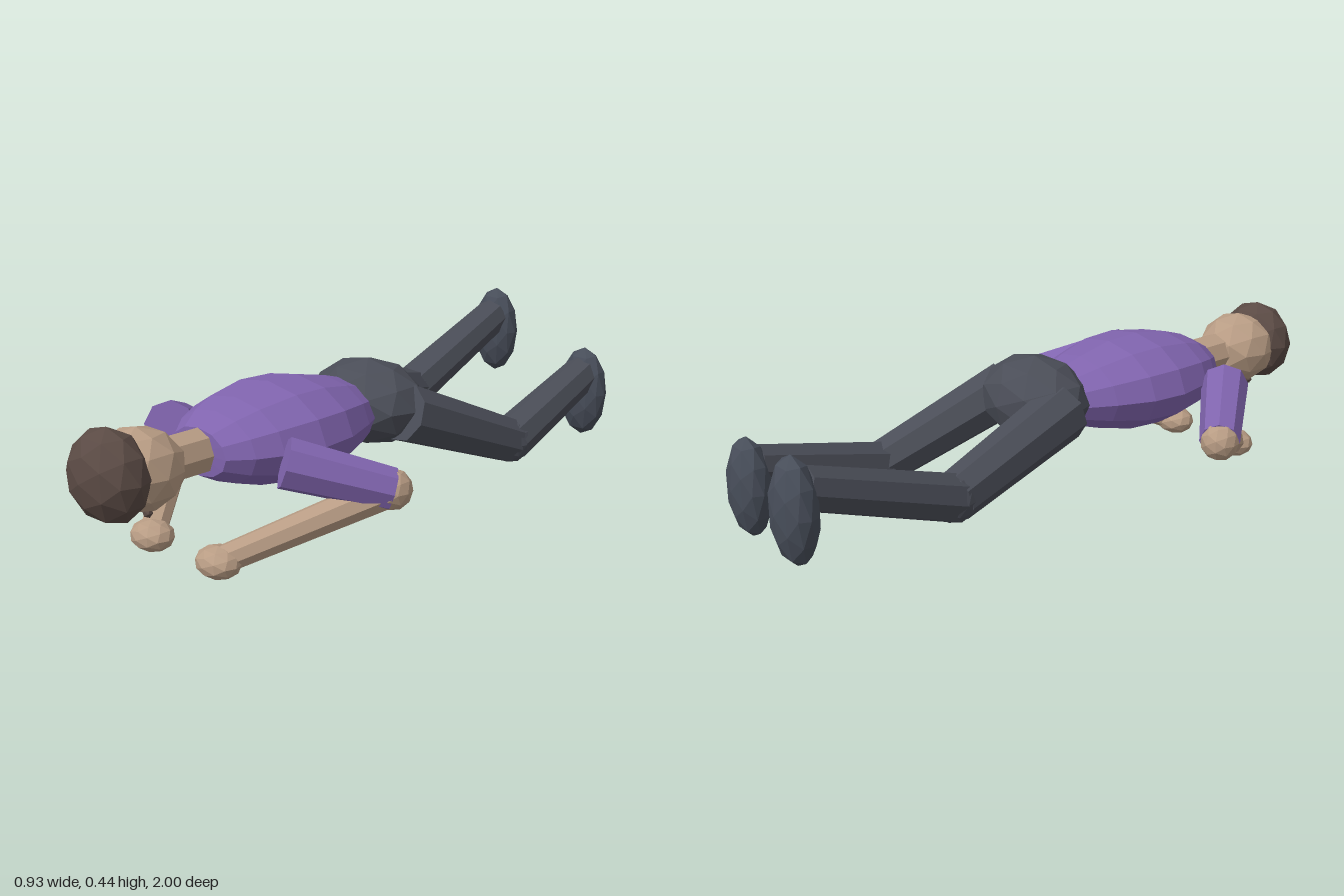
import * as THREE from 'three';

const flat = (name, color) => {
  const m = new THREE.MeshStandardMaterial({ color, flatShading: true });
  m.name = name;
  return m;
};

export function createModel() {
  const shirt = flat('purple shirt', 0x8064ae);
  const skin = flat('skin', 0xb89c84);
  const hairMat = flat('dark brown hair', 0x5a4a44);
  const trousers = flat('grey trousers', 0x4a4d57);
  const shoes = flat('slate shoes', 0x474d59);
  const model = new THREE.Group();
  model.name = 'proneFigure';

  const add = (parent, name, geometry, material) => {
    const mesh = new THREE.Mesh(geometry, material);
    mesh.name = name;
    parent.add(mesh);
    return mesh;
  };
  // Faceted ellipsoid
  const ball = (parent, name, material, centre, radii, detail = 1) => {
    const mesh = add(parent, name, new THREE.IcosahedronGeometry(1, detail), material);
    mesh.position.set(...centre);
    mesh.scale.set(...radii);
    return mesh;
  };
  // Tapered eight-sided limb from a to b
  const limb = (parent, name, material, a, b, ra, rb) => {
    const start = new THREE.Vector3(...a), end = new THREE.Vector3(...b);
    const dir = end.clone().sub(start);
    const mesh = add(parent, name, new THREE.CylinderGeometry(rb, ra, dir.length(), 8), material);
    mesh.position.copy(start).add(end).multiplyScalar(0.5);
    mesh.quaternion.setFromUnitVectors(new THREE.Vector3(0, 1, 0), dir.normalize());
    return mesh;
  };

  // Torso: lathe laid along z, flattened in y
  const profile = [[0, 0.04], [0.12, 0.05], [0.17, 0.15], [0.211, 0.26], [0.219, 0.37],
    [0.19, 0.49], [0.155, 0.56], [0.105, 0.62], [0, 0.625]];
  const torsoGeo = new THREE.LatheGeometry(profile.map(p => new THREE.Vector2(...p)), 12);
  torsoGeo.rotateX(Math.PI / 2);
  torsoGeo.scale(1, 0.63, 1);
  add(model, 'torso', torsoGeo, shirt).position.y = 0.298;

  ball(model, 'hips', trousers, [0.027, 0.305, 0], [0.185, 0.125, 0.143]);

  // Head, face down
  limb(model, 'neck', skin, [0, 0.3, 0.55], [0, 0.303, 0.74], 0.063, 0.063);
  ball(model, 'head', skin, [0, 0.304, 0.82], [0.121, 0.111, 0.125]);
  ball(model, 'hair', hairMat, [0, 0.311, 0.909], [0.126, 0.125, 0.091]);
  for (const s of [-1, 1]) {
    ball(model, s > 0 ? 'leftEye' : 'rightEye', hairMat, [s * 0.045, 0.202, 0.83], [0.014, 0.014, 0.014], 0);
  }

  // Arms, bent with hands under the head
  for (const s of [-1, 1]) {
    const arm = new THREE.Group();
    arm.name = s > 0 ? 'leftArm' : 'rightArm';
    model.add(arm);
    const elbow = [s * 0.407, 0.217, 0.325];
    const wrist = [s * 0.14, 0.053, 0.67];
    limb(arm, 'sleeve', shirt, [s * 0.225, 0.298, 0.53], elbow, 0.07, 0.058);
    ball(arm, 'elbow', skin, elbow, [0.056, 0.056, 0.056]);
    limb(arm, 'forearm', skin, elbow, wrist, 0.047, 0.038);
    ball(arm, 'hand', skin, [s * 0.132, 0.047, 0.68], [0.067, 0.044, 0.057]);
  }

  // Legs in two different poses
  const legs = [
    { name: 'leftLeg', hip: [0.165, 0.295, 0.0], knee: [0.24, 0.13, -0.4], ankle: [0.21, 0.245, -0.82], foot: [0.21, 0.185, -0.835] },
    { name: 'rightLeg', hip: [-0.1, 0.295, 0.0], knee: [-0.205, 0.19, -0.46], ankle: [-0.228, 0.35, -0.92], foot: [-0.23, 0.297, -0.942] },
  ];
  for (const { name, hip, knee, ankle, foot } of legs) {
    const leg = new THREE.Group();
    leg.name = name;
    model.add(leg);
    limb(leg, 'thigh', trousers, hip, knee, 0.085, 0.068);
    ball(leg, 'knee', trousers, knee, [0.068, 0.068, 0.068]);
    limb(leg, 'shin', trousers, knee, ankle, 0.068, 0.058);
    ball(leg, 'shoe', shoes, foot, [0.082, 0.145, 0.056]);
  }
  return model;
}
